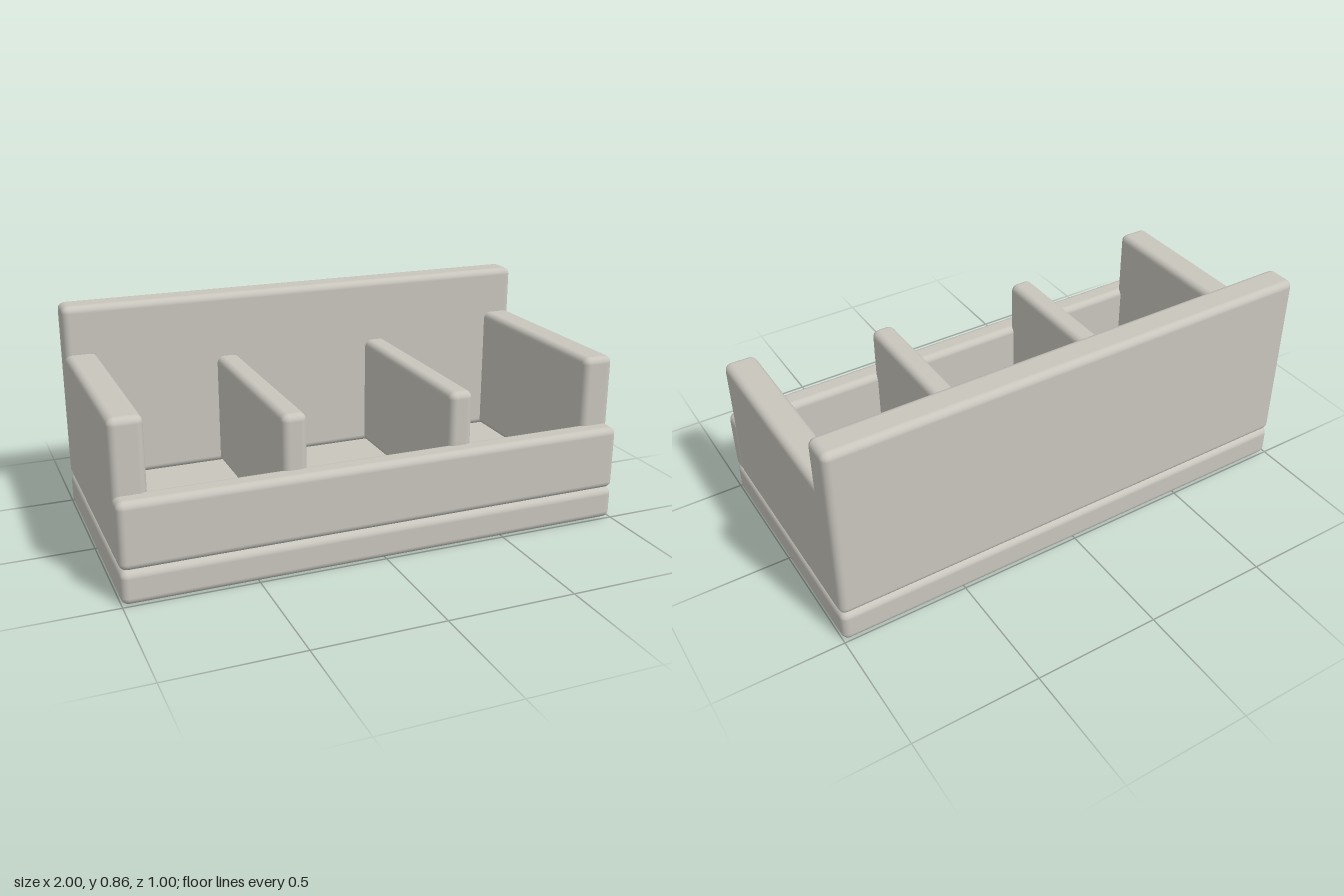
import * as THREE from 'three';
import { RoundedBoxGeometry } from 'three/addons/geometries/RoundedBoxGeometry.js';

export function createModel() {
  const group = new THREE.Group();
  group.name = 'compartmentTray';
  const stone = new THREE.MeshStandardMaterial({ color: 0xc8c5bd });
  stone.name = 'warm grey';

  // Rounded slab given by its limits on each axis
  function slab(name, [x0, x1], [y0, y1], [z0, z1], radius = 0.028) {
    const geometry = new RoundedBoxGeometry(x1 - x0, y1 - y0, z1 - z0, 3, radius);
    const mesh = new THREE.Mesh(geometry, stone);
    mesh.name = name;
    mesh.position.set((x0 + x1) / 2, (y0 + y1) / 2, (z0 + z1) / 2);
    group.add(mesh);
  }

  const floorTop = 0.13;

  // Base and the long panels
  slab('base', [-1, 1], [0, floorTop], [-0.5, 0.5]);
  slab('backPanel', [-1, 1], [floorTop, 0.86], [-0.5, -0.373]);
  slab('frontPanel', [-1, 1], [floorTop, 0.387], [0.402, 0.5]);

  // Side panels and inner dividers, mirrored left and right
  for (const [side, s] of [['left', 1], ['right', -1]]) {
    const span = (a, b) => (s > 0 ? [a, b] : [-b, -a]);
    slab(side + 'SidePanel', span(0.873, 1), [floorTop, 0.666], [-0.435, 0.435]);
    slab(side + 'Divider', span(0.286, 0.382), [floorTop, 0.597], [-0.435, 0.435]);
  }

  return group;
}
